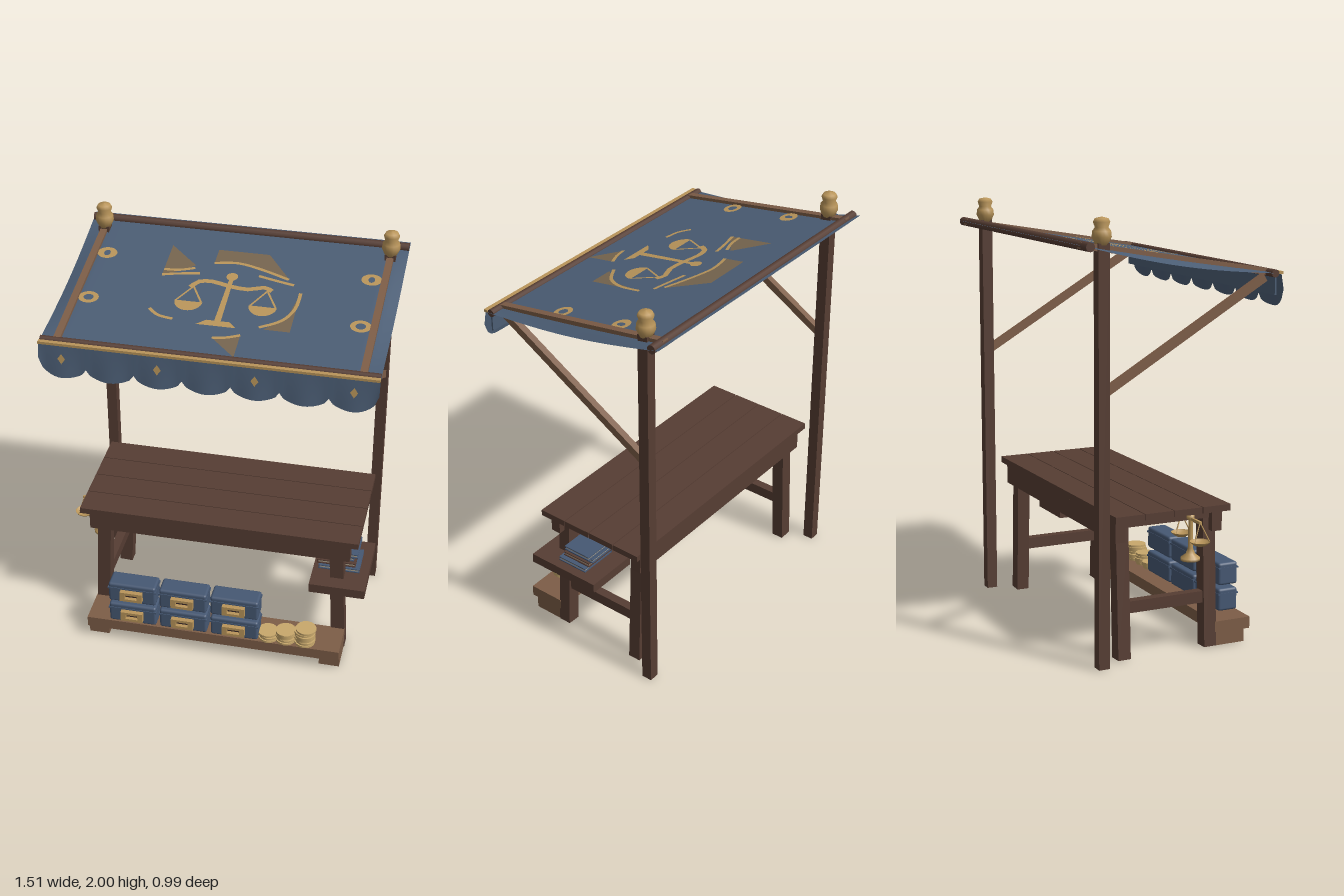
import * as THREE from 'three';
import { RoundedBoxGeometry } from 'three/addons/geometries/RoundedBoxGeometry.js';

const mat = (name, color, side = THREE.FrontSide) =>
  Object.assign(new THREE.MeshStandardMaterial({ color, side }), { name });

export function createModel() {
  const root = new THREE.Group();
  root.name = 'marketStall';
  const dark = mat('dark wood', 0x563d33);
  const light = mat('light wood', 0x7d5d47);
  const cloth = mat('blue cloth', 0x4b5d74, THREE.DoubleSide);
  const navy = mat('box blue', 0x465873);
  const brass = mat('brass', 0xb9955a, THREE.DoubleSide);
  const coin = mat('coin gold', 0xc8a86c);
  const shade = mat('faded gold', 0x76654f, THREE.DoubleSide);
  const iron = mat('dark inlay', 0x3d2c2a);
  const paper = mat('paper', 0xb0a58e);

  const V = (x, y, z) => new THREE.Vector3(x, y, z);
  const add = (name, geo, m, x = 0, y = 0, z = 0, parent = root) => {
    const mesh = new THREE.Mesh(geo, m);
    mesh.name = name;
    mesh.position.set(x, y, z);
    parent.add(mesh);
    return mesh;
  };
  // Box given by its limits on each axis
  const box = (name, m, x0, x1, y0, y1, z0, z1) =>
    add(name, new THREE.BoxGeometry(x1 - x0, y1 - y0, z1 - z0), m, (x0 + x1) / 2, (y0 + y1) / 2, (z0 + z1) / 2);
  // Square or round bar between two points
  const beam = (name, m, a, b, w, d = w, round = false) => {
    const len = a.distanceTo(b);
    const geo = round ? new THREE.CylinderGeometry(w, d, len, 12) : new THREE.BoxGeometry(w, len, d);
    const mesh = add(name, geo, m);
    mesh.position.copy(a).add(b).multiplyScalar(0.5);
    mesh.quaternion.setFromUnitVectors(V(0, 1, 0), b.clone().sub(a).normalize());
    return mesh;
  };
  const lathe = (name, m, pts, x, y, z, n = 16) =>
    add(name, new THREE.LatheGeometry(pts.map(p => new THREE.Vector2(...p)), n), m, x, y, z);

  // Posts, finials, braces and roof rails
  const roofY = z => 1.803 - 0.168 * z;
  for (const s of [-1, 1]) {
    const x = 0.68 * s;
    box('post', dark, x - 0.025, x + 0.025, 0, 1.89, -0.402, -0.35);
    lathe('finial', brass, [[0, 1.88], [0.027, 1.88], [0.043, 1.915], [0.04, 1.94], [0.029, 1.955],
      [0.037, 1.978], [0.029, 1.993], [0, 2]], x, 0, -0.376);
    beam('roofBrace', light, V(x, 1.705, 0.42), V(x, 1.245, -0.36), 0.032, 0.036);
    beam('roofRail', light, V(x, roofY(0.43), 0.43), V(x, roofY(-0.48), -0.48), 0.032, 0.03);
  }
  beam('backPole', dark, V(-0.755, 1.88, -0.462), V(0.755, 1.88, -0.462), 0.021, 0.021, true);
  beam('frontPole', dark, V(-0.755, 1.728, 0.436), V(0.755, 1.728, 0.436), 0.018, 0.018, true);

  // Awning: slanted cloth whose side edges droop
  const roof = new THREE.PlaneGeometry(1.514, 0.95, 40, 16).rotateX(-Math.PI / 2);
  roof.translate(0, 0, -0.025);
  const rp = roof.attributes.position;
  for (let i = 0; i < rp.count; i++) {
    const z = rp.getZ(i), over = Math.max(0, Math.abs(rp.getX(i)) - 0.68);
    rp.setY(i, roofY(z) - over * 0.35 * Math.sin(Math.PI * (z + 0.5) / 0.95));
  }
  roof.computeVertexNormals();
  add('awning', roof, cloth);

  // Valance: seven hanging lobes with a gentle wave
  const W = 1.514 / 7;
  const val = new THREE.PlaneGeometry(1.514, 1, 84, 5);
  const vp = val.attributes.position;
  for (let i = 0; i < vp.count; i++) {
    const x = vp.getX(i), t = 0.5 - vp.getY(i);
    const u = 2 * (((x + 0.757) / W) % 1) - 1;
    const k = Math.abs(x) > 0.655 ? 0.085 : 0.045;
    const low = 1.572 + k * (1 - Math.sqrt(Math.max(0, 1 - u * u)));
    vp.setY(i, 1.73 + (low - 1.73) * t);
    vp.setZ(i, 0.464 + t * (0.02 + 0.007 * Math.cos(Math.PI * u)));
  }
  val.computeVertexNormals();
  add('valance', val, cloth);
  box('innerValance', cloth, -0.74, 0.74, 1.63, 1.72, 0.442, 0.45);
  box('valanceTrim', brass, -0.757, 0.757, 1.725, 1.737, 0.454, 0.474);
  for (const i of [-3, -1, 1, 3]) {
    const d = add('valanceDiamond', new THREE.CircleGeometry(0.025, 4), brass, i * W, 1.665, 0.483);
    d.scale.x = 0.7;
    d.rotation.x = -0.12;
  }

  // Flat ornaments laid on the awning, drawn in x and z
  const decal = (name, shape, m, lift = 0.004) => {
    const g = new THREE.ShapeGeometry(shape, 12).rotateX(-Math.PI / 2);
    const p = g.attributes.position;
    for (let i = 0; i < p.count; i++) p.setY(i, roofY(p.getZ(i)) + lift);
    g.computeVertexNormals();
    add(name, g, m);
  };
  const poly = pts => new THREE.Shape(pts.map(([x, z]) => new THREE.Vector2(x, -z)));
  const ribbon = (pts, w) => {
    const c = new THREE.SplineCurve(pts.map(p => new THREE.Vector2(...p)));
    const a = [], b = [];
    for (let i = 0; i <= 12; i++) {
      const p = c.getPoint(i / 12), t = c.getTangent(i / 12);
      a.push([p.x - t.y * w / 2, p.y + t.x * w / 2]);
      b.unshift([p.x + t.y * w / 2, p.y - t.x * w / 2]);
    }
    return poly([...a, ...b]);
  };
  [[[-0.33, -0.3], [-0.19, -0.17], [-0.33, -0.07]],
    [[-0.11, -0.3], [0.13, -0.3], [0.25, -0.14], [0.12, -0.19], [0, -0.22], [-0.11, -0.21]],
    [[0.32, -0.05], [0.32, 0.22], [0.2, 0.22], [0.29, 0.12]],
    [[-0.01, 0.31], [0.11, 0.27], [0.11, 0.42]]].forEach(p => decal('emblemShard', poly(p), shade, 0.003));
  [[[-0.33, -0.08], [-0.25, -0.1], [-0.16, -0.115]], [[-0.33, -0.12], [-0.26, -0.125], [-0.19, -0.15]],
    [[-0.11, -0.2], [0, -0.215], [0.12, -0.185], [0.25, -0.135]], [[0.11, -0.14], [0.19, -0.12], [0.28, -0.1]],
    [[0.32, -0.05], [0.315, 0.06], [0.27, 0.15], [0.18, 0.21]], [[-0.33, 0.16], [-0.28, 0.2], [-0.21, 0.215]],
    [[-0.01, 0.31], [0.05, 0.3], [0.11, 0.275]]].forEach(p => decal('emblemArc', ribbon(p, 0.016), brass));
  decal('emblemColumn', poly([[-0.018, -0.1], [0.002, -0.1], [0.006, 0.21], [-0.024, 0.21]]), brass, 0.005);
  decal('emblemKnob', new THREE.Shape().absarc(-0.008, 0.112, 0.027, 0, Math.PI * 2), brass, 0.006);
  decal('emblemBase', poly([[-0.06, 0.2], [0.045, 0.2], [0.08, 0.235], [-0.1, 0.235]]), brass, 0.006);
  decal('emblemBeam', ribbon([[-0.18, -0.01], [-0.15, -0.055], [-0.09, -0.065], [-0.01, -0.045], [0.08, -0.035],
    [0.15, -0.06], [0.19, -0.04]], 0.026), brass, 0.006);
  for (const [x, top, z] of [[-0.167, -0.02, 0.085], [0.17, -0.04, 0.07]]) {
    decal('emblemPan', new THREE.Shape().absarc(x, -z, 0.064, Math.PI, Math.PI * 2).closePath(), brass);
    for (const s of [-1, 1]) decal('emblemCord', ribbon([[x, top], [x + s * 0.058, z]], 0.009), brass);
  }
  for (const s of [-1, 1]) for (const [z, r] of [[-0.195, 0.015], [0.13, 0.023]]) {
    const ring = new THREE.Shape().absellipse(s * 0.62, -z, 0.047, 0.04, 0, Math.PI * 2);
    ring.holes.push(new THREE.Path().absellipse(s * 0.62, -z, r, 0.02, 0, Math.PI * 2, true));
    decal('awningRing', ring, brass);
  }

  // Table: four planks, aprons, splayed legs and stretchers
  for (let i = 0; i < 4; i++) {
    const z = -0.31 + i * 0.145;
    box('tabletopPlank', dark, -0.68, 0.68, 0.652, 0.682, z + 0.002, z + 0.143);
  }
  box('frontApron', dark, -0.64, 0.64, 0.552, 0.642, 0.195, 0.245);
  box('backApron', dark, -0.64, 0.64, 0.552, 0.642, -0.292, -0.242);
  for (const s of [-1, 1]) {
    box('topBatten', dark, s * 0.58 - 0.03, s * 0.58 + 0.03, 0.61, 0.652, -0.27, 0.22);
    for (const z of [0.197, -0.242]) beam('leg', dark, V(s * 0.6, 0, z), V(s * 0.57, 0.64, z), 0.066, 0.062);
    box('sideStretcher', dark, s * 0.588 - 0.022, s * 0.588 + 0.022, 0.21, 0.265, -0.22, 0.18);
    box('shelfFoot', light, s * 0.58 - 0.05, s * 0.58 + 0.05, 0, 0.06, 0.22, 0.375);
  }
  box('lowShelf', light, -0.63, 0.63, 0.06, 0.115, 0.222, 0.405);

  // Side shelf with stacked books
  box('sideShelf', dark, 0.455, 0.725, 0.383, 0.43, -0.08, 0.3);
  [[0.58, 0.09, navy], [0.565, 0.08, dark], [0.56, 0.065, navy], [0.585, 0.07, navy]].forEach(([x, z, m], i) => {
    const y = 0.43 + i * 0.0225, w = 0.1 - i * 0.006, d = 0.08 - i * 0.002;
    box('bookBack', m, x - w, x + w, y, y + 0.005, z - d, z + d);
    box('bookPages', paper, x - w + 0.006, x + w - 0.006, y + 0.005, y + 0.016, z - d + 0.006, z + d - 0.006);
    box('bookCover', m, x - w, x + w, y + 0.016, y + 0.021, z - d, z + d);
    box('bookSpine', m, x - w, x - w + 0.006, y, y + 0.021, z - d, z + d);
  });

  // Storage boxes with framed label plates
  const frame = new THREE.Shape([[-0.055, -0.026], [0.055, -0.026], [0.055, 0.026], [-0.055, 0.026]]
    .map(p => new THREE.Vector2(...p)));
  frame.holes.push(new THREE.Path([[-0.03, -0.012], [-0.03, 0.012], [0.03, 0.012], [0.03, -0.012]]
    .map(p => new THREE.Vector2(...p))));
  const frameGeo = new THREE.ExtrudeGeometry(frame, { depth: 0.025, bevelEnabled: false });
  const boxGeo = new RoundedBoxGeometry(0.236, 0.108, 0.1, 2, 0.012);
  for (const x of [-0.397, -0.143, 0.112]) for (const y of [0.172, 0.297]) {
    add('storageBox', boxGeo, navy, x, y, 0.354);
    box('boxLidBand', navy, x - 0.12, x + 0.12, y + 0.024, y + 0.032, 0.302, 0.407);
    add('labelFrame', frameGeo, brass, x, y, 0.405);
    box('labelInlay', iron, x - 0.03, x + 0.03, y - 0.012, y + 0.012, 0.403, 0.411);
  }

  // Coin stacks
  [[0.275, 3], [0.36, 5], [0.455, 7]].forEach(([x, n]) => {
    for (let i = 0; i < n; i++) {
      add('coin', new THREE.CylinderGeometry(0.05, 0.05, 0.0108, 16), coin,
        x + 0.004 * Math.sin(i * 2.3), 0.121 + i * 0.012, 0.355 + 0.004 * Math.cos(i * 1.7));
    }
  });

  // Balance scale at the table end
  const sx = -0.62, sz = 0.095;
  lathe('scaleStand', brass, [[0, 0.425], [0.045, 0.425], [0.045, 0.437], [0.022, 0.455], [0.012, 0.48],
    [0.01, 0.61], [0.018, 0.62], [0.018, 0.635], [0, 0.645]], sx, 0, sz);
  beam('scaleBeam', brass, V(sx - 0.095, 0.62, sz), V(sx + 0.095, 0.62, sz), 0.012);
  for (const s of [-1, 1]) {
    const px = sx + s * 0.09;
    lathe('scalePan', brass, [[0, 0.512], [0.025, 0.516], [0.045, 0.53], [0.047, 0.535]], px, 0, sz);
    for (let i = 0; i < 3; i++) {
      const a = i * Math.PI * 2 / 3;
      beam('panCord', brass, V(px, 0.62, sz), V(px + 0.044 * Math.cos(a), 0.533, sz + 0.044 * Math.sin(a)), 0.004);
    }
  }
  return root;
}
